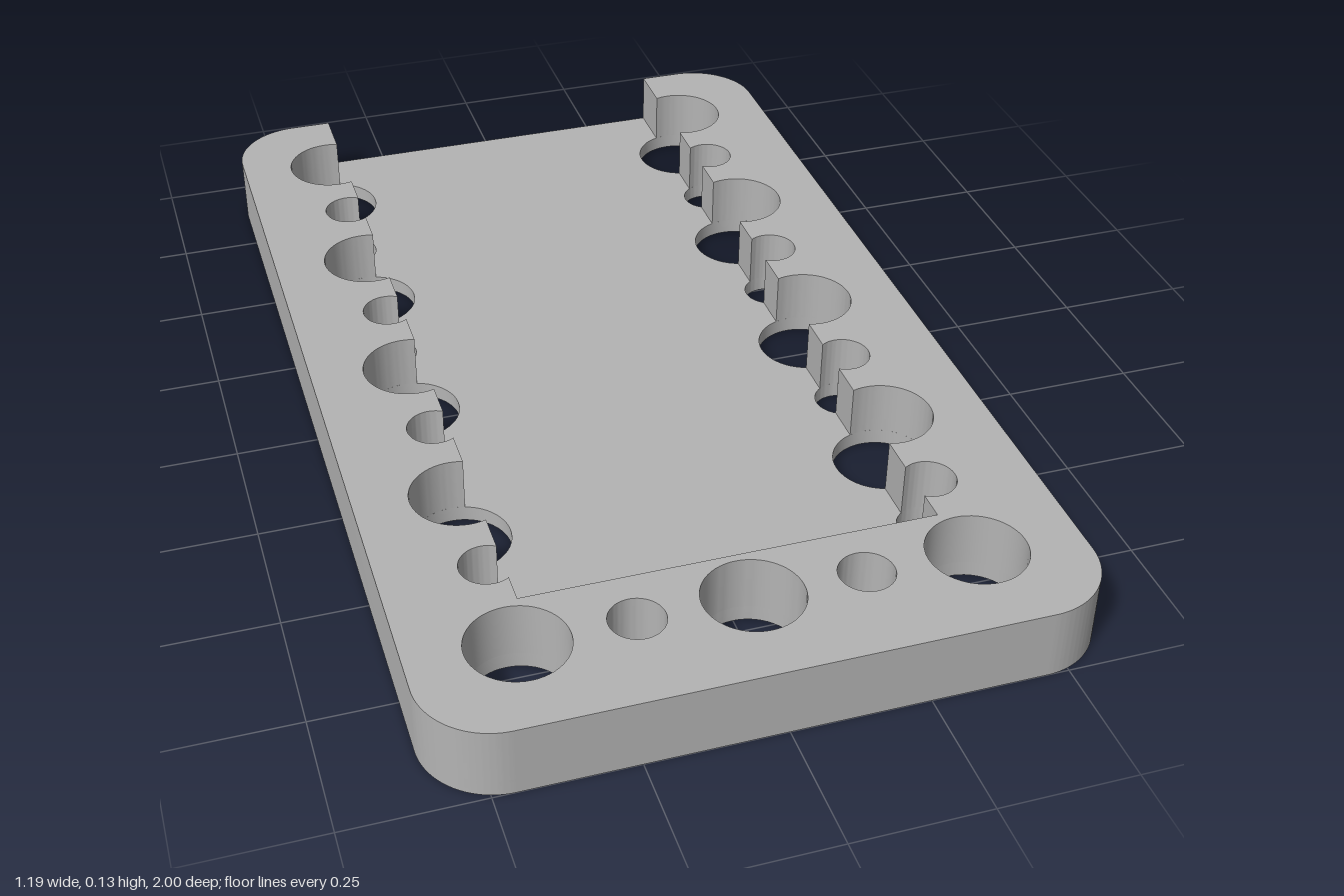
import * as THREE from 'three';
import { toCreasedNormals } from 'three/addons/utils/BufferGeometryUtils.js';

const W = 0.595, L = 1, R = 0.135;        // half width, half length, corner radius
const H = 0.135, FLOOR = 0.03;            // total height, floor thickness
const POCKET = 0.378, POCKET_END = 0.705; // pocket half width, front wall
const PITCH = 0.2025, HX = 2 * PITCH;     // hole spacing, side hole columns
const BIG = 0.09, SMALL = 0.05;

// Side holes as seen from above, shape y pointing to the back
const sideHoles = [];
for (let i = -3; i <= 4; i++) sideHoles.push({ y: i * PITCH, r: i % 2 ? SMALL : BIG });

function addHole(shape, x, y, r) {
  const path = new THREE.Path();
  path.absarc(x, y, r, 0, Math.PI * 2, true);
  shape.holes.push(path);
}

// Front row, fully enclosed by the rim
function addFrontRow(shape) {
  for (let i = -2; i <= 2; i++) addHole(shape, i * PITCH, -4 * PITCH, i % 2 ? SMALL : BIG);
}

// Rounded outline from the back left edge round the front to the back right
function traceOutline(shape, startX) {
  shape.moveTo(-startX, L);
  shape.lineTo(-W + R, L);
  shape.absarc(-W + R, L - R, R, Math.PI / 2, Math.PI, false);
  shape.absarc(-W + R, -L + R, R, Math.PI, Math.PI * 1.5, false);
  shape.absarc(W - R, -L + R, R, -Math.PI / 2, 0, false);
  shape.absarc(W - R, L - R, R, 0, Math.PI / 2, false);
  shape.lineTo(startX, L);
}

function slab(shape, y, height, name, material) {
  let geo = new THREE.ExtrudeGeometry(shape, { depth: height, bevelEnabled: false, curveSegments: 28 });
  geo.rotateX(-Math.PI / 2);
  geo.translate(0, y, 0);
  geo = toCreasedNormals(geo, 0.5);
  const mesh = new THREE.Mesh(geo, material);
  mesh.name = name;
  return mesh;
}

export function createModel() {
  const group = new THREE.Group();
  group.name = 'perforatedTray';
  const grey = new THREE.MeshStandardMaterial({ color: 0xb4b4b4 });
  grey.name = 'grey';

  // Thin floor with every hole through it
  const floor = new THREE.Shape();
  traceOutline(floor, POCKET);
  floor.closePath();
  addFrontRow(floor);
  for (const { y, r } of sideHoles) for (const s of [-1, 1]) addHole(floor, s * HX, y, r);
  group.add(slab(floor, 0, FLOOR, 'floor', grey));

  // U-shaped rim, open at the back, its inner walls scalloped by the side holes
  const rim = new THREE.Shape();
  traceOutline(rim, POCKET);
  const d = HX - POCKET;
  for (const { y, r } of [...sideHoles].reverse()) {
    const a = Math.atan2(Math.sqrt(r * r - d * d), -d);
    rim.absarc(HX, y, r, a, -a, true);
  }
  rim.lineTo(POCKET, -POCKET_END);
  rim.lineTo(-POCKET, -POCKET_END);
  for (const { y, r } of sideHoles) {
    const a = Math.atan2(Math.sqrt(r * r - d * d), d);
    rim.absarc(-HX, y, r, -a, a, true);
  }
  rim.closePath();
  addFrontRow(rim);
  group.add(slab(rim, FLOOR, H - FLOOR, 'rim', grey));

  return group;
}
